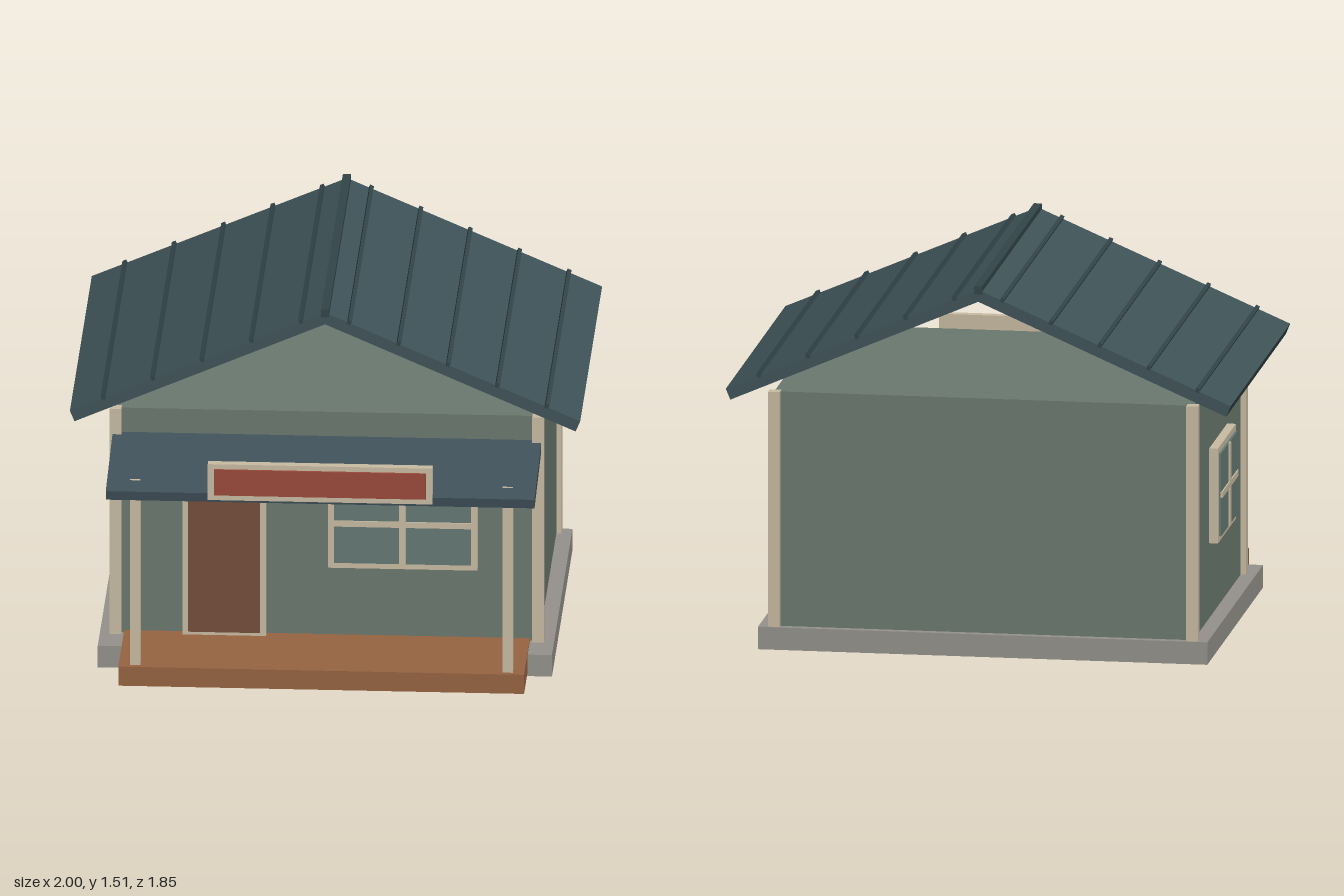
import * as THREE from 'three';

const mat = (name, color) => {
  const m = new THREE.MeshStandardMaterial({ color });
  m.name = name;
  return m;
};

export function createModel() {
  const wall = mat('sage wall', 0x6b7a70);
  const trim = mat('cream trim', 0xcabda4);
  const roofMat = mat('slate roof', 0x3f5358);
  const ribMat = mat('dark roof rib', 0x33454a);
  const awningMat = mat('blue slate awning', 0x40525b);
  const stone = mat('grey stone', 0x96938d);
  const wood = mat('deck wood', 0x986542);
  const doorMat = mat('brown door', 0x764f3c);
  const red = mat('red sign', 0x9c4a3a);
  const glass = mat('window glass', 0x667a74);

  const model = new THREE.Group();
  model.name = 'cottage';

  // Box given by its min and max corners
  const box = (parent, name, material, [x0, y0, z0], [x1, y1, z1]) => {
    const mesh = new THREE.Mesh(new THREE.BoxGeometry(x1 - x0, y1 - y0, z1 - z0), material);
    mesh.position.set((x0 + x1) / 2, (y0 + y1) / 2, (z0 + z1) / 2);
    mesh.name = name;
    parent.add(mesh);
    return mesh;
  };

  // Base, walls and deck
  box(model, 'foundation', stone, [-0.89, 0, -0.81], [0.89, 0.09, 0.585]);
  box(model, 'walls', wall, [-0.83, 0.09, -0.78], [0.83, 1.03, 0.43]);
  box(model, 'porchDeck', wood, [-0.795, 0.02, 0.4], [0.795, 0.1, 0.835]);

  // Corner boards and porch posts
  for (const s of [-1, 1]) {
    for (const z of [-0.779, 0.428]) {
      const x = s * 0.828;
      box(model, 'cornerPost', trim, [x - 0.023, 0.09, z - 0.023], [x + 0.023, 1.032, z + 0.023]);
    }
    box(model, 'porchPost', trim, [s * 0.73 - 0.02, 0.1, 0.775], [s * 0.73 + 0.02, 0.8745, 0.815]);
  }

  // Gable roof: an open chevron run from back to front
  const roof = new THREE.Group();
  roof.name = 'roof';
  const chevron = new THREE.Shape([
    [-1, 1.065], [-0.982, 1.022], [0, 1.449], [0.982, 1.022], [1, 1.065], [0, 1.497],
  ].map(([x, y]) => new THREE.Vector2(x, y)));
  const slab = new THREE.ExtrudeGeometry(chevron, { depth: 1.49, bevelEnabled: false });
  slab.translate(0, 0, -0.92);
  const slabMesh = new THREE.Mesh(slab, roofMat);
  slabMesh.name = 'roofSlopes';
  roof.add(slabMesh);

  // Standing seams and ridge cap
  const pitch = Math.atan(0.432);
  for (const s of [-1, 1]) {
    for (let i = 0; i < 5; i++) {
      const x = 0.095 + i * 0.1935;
      const rib = box(roof, 'roofRib', ribMat, [-0.008, -0.009, -0.923], [0.008, 0.009, 0.572]);
      rib.position.x = s * x;
      rib.position.y = 1.5 - 0.432 * x;
      rib.rotation.z = -s * pitch;
    }
  }
  box(roof, 'ridgeCap', ribMat, [-0.016, 1.478, -0.923], [0.016, 1.512, 0.572]);
  model.add(roof);

  // Sloping porch awning
  const awning = box(model, 'porchAwning', awningMat, [-0.84, -0.019, -0.243], [0.84, 0.019, 0.243]);
  awning.position.set(0, 0.876, 0.663);
  awning.rotation.x = Math.atan(0.145);

  // Sign board above the awning
  const sign = new THREE.Group();
  sign.name = 'sign';
  box(sign, 'signBoard', trim, [-0.44, 0.835, 0.88], [0.44, 0.985, 0.915]);
  box(sign, 'signPanel', red, [-0.415, 0.858, 0.915], [0.415, 0.965, 0.924]);
  model.add(sign);

  // Front door
  const door = new THREE.Group();
  door.name = 'door';
  box(door, 'doorFrame', trim, [-0.565, 0.1, 0.425], [-0.237, 0.77, 0.466]);
  box(door, 'doorPanel', doorMat, [-0.543, 0.115, 0.466], [-0.26, 0.75, 0.475]);
  model.add(door);

  // Window facing +z, with its wall plane at z = 0
  const makeWindow = (name, w, h) => {
    const g = new THREE.Group();
    g.name = name;
    const a = w / 2, b = h / 2, t = 0.024;
    box(g, 'windowFrame', trim, [-a, -b, -0.01], [a, b, 0.035]);
    box(g, 'windowGlass', glass, [t - a, t - b, 0.035], [a - t, b - t, 0.044]);
    box(g, 'verticalBar', trim, [-0.013, t - b, 0.04], [0.013, b - t, 0.05]);
    box(g, 'horizontalBar', trim, [t - a, -0.012, 0.04], [a - t, 0.012, 0.0495]);
    model.add(g);
    return g;
  };
  makeWindow('frontWindow', 0.585, 0.38).position.set(0.298, 0.581, 0.43);
  const side = makeWindow('sideWindow', 0.45, 0.38);
  side.position.set(-0.83, 0.581, -0.16);
  side.rotation.y = -Math.PI / 2;

  return model;
}
